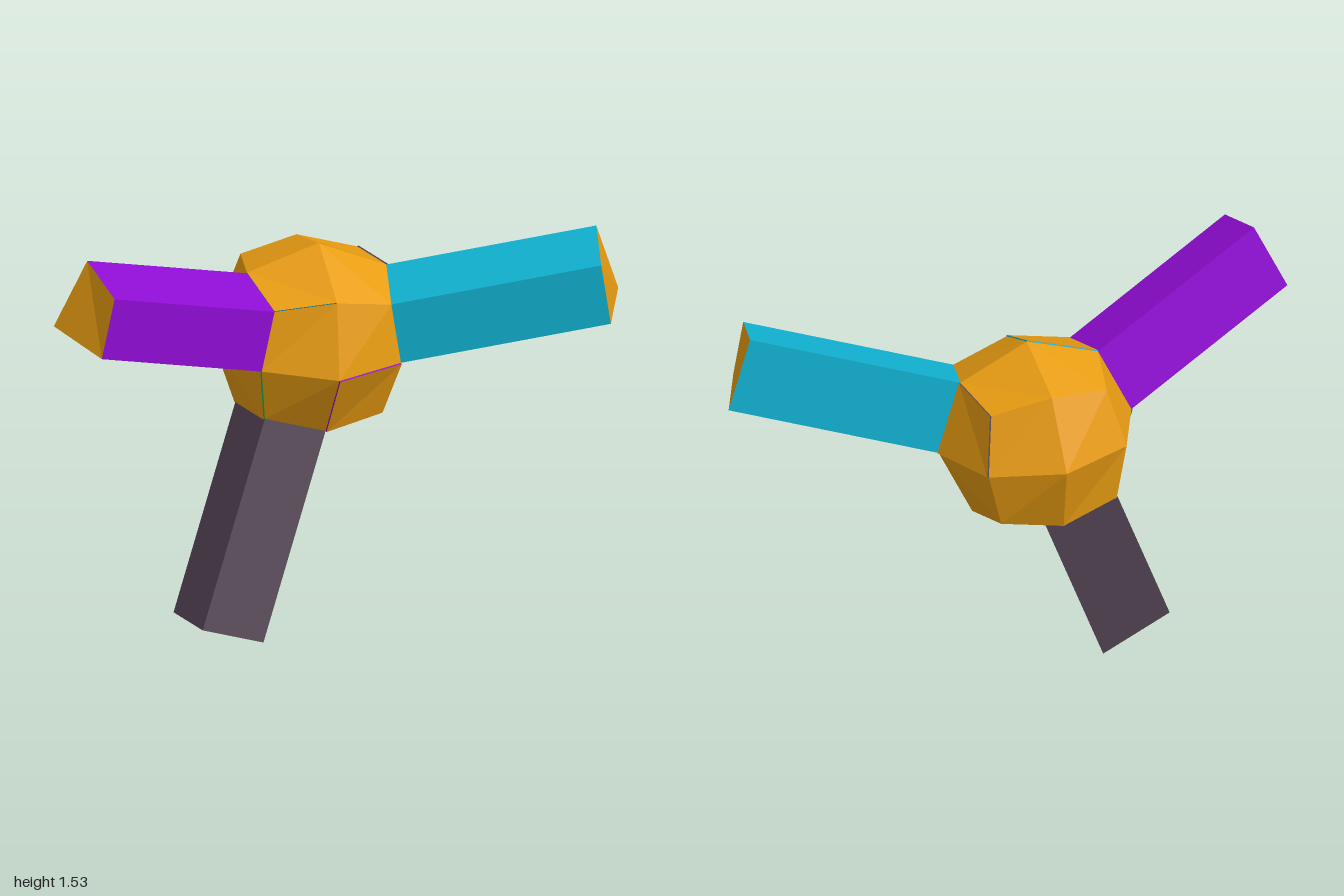
import * as THREE from 'three';

// Slightly tilted body frame; each axis is one body radius long
const CENTER = new THREE.Vector3(-0.035, 1.028, -0.098);
const AXES = [
  new THREE.Vector3(0.345, -0.022, -0.02),
  new THREE.Vector3(0.022, 0.345, 0.027),
  new THREE.Vector3(0.02, -0.028, 0.345),
];
const EDGE = 0.715, CORNER = 0.6;
const ORANGE = 0xe89c12, PURPLE = 0x8e0cd2, TEAL = 0x10b2d2, PLUM = 0x574757, GREEN = 0x128a3c;

// Raised faces, keyed by axis and corner signs; three grow into limbs
const RAISED = {
  'x-++': { name: 'rightArm', height: 0.72, color: PURPLE },
  'x+++': { name: 'leftArm', height: 0.735, color: TEAL },
  'y--+': { name: 'leg', height: 0.755, color: PLUM },
  'x--+': { name: 'lowerRightPlate', height: 0.006, color: GREEN },
  'z+-+': { name: 'lowerFrontPlate', height: 0.006, color: PURPLE },
  'y-++': { name: 'upperFrontPlate', height: 0.004, color: TEAL },
  'x++-': { name: 'upperBackPlate', height: 0.006, color: PLUM },
};

// Point of the body from weights along its three axes
function bodyPoint(weights) {
  const p = CENTER.clone();
  weights.forEach((w, i) => p.addScaledVector(AXES[i], w));
  return p;
}

function quad(out, a, b, c, d) {
  for (const p of [a, b, c, a, c, d]) out.push(p.x, p.y, p.z);
}

function facetMesh(name, positions, color) {
  const geometry = new THREE.BufferGeometry();
  geometry.setAttribute('position', new THREE.Float32BufferAttribute(positions, 3));
  geometry.computeVertexNormals();
  const mesh = new THREE.Mesh(geometry, new THREE.MeshStandardMaterial({ color, flatShading: true }));
  mesh.name = name;
  return mesh;
}

// Four corners of one face: axis tip, edge point, cube corner, edge point
function faceCorners(axis, signs) {
  const j = (axis + 1) % 3, k = (axis + 2) % 3;
  const at = (scale, used) => bodyPoint(signs.map((s, i) => (used.includes(i) ? s * scale : 0)));
  const corners = [at(1, [axis]), at(EDGE, [axis, j]), at(CORNER, [0, 1, 2]), at(EDGE, [axis, k])];
  if (signs[0] * signs[1] * signs[2] < 0) corners.reverse();
  return corners;
}

export function createModel() {
  const group = new THREE.Group();
  const shell = [];

  for (let axis = 0; axis < 3; axis++) {
    for (let n = 0; n < 8; n++) {
      const signs = [n & 1, n & 2, n & 4].map((bit) => (bit ? 1 : -1));
      const key = 'xyz'[axis] + signs.map((s) => (s > 0 ? '+' : '-')).join('');
      const base = faceCorners(axis, signs);
      const raised = RAISED[key];
      if (!raised) {
        quad(shell, ...base);
        continue;
      }

      // Push the face out along its normal and wall in the sides
      const [a, b, c, d] = base;
      const push = c.clone().sub(a).cross(d.clone().sub(b)).setLength(raised.height);
      const tip = base.map((p) => p.clone().add(push));
      const walls = [], cap = [];
      base.forEach((p, i) => {
        const next = (i + 1) % 4;
        quad(walls, p, base[next], tip[next], tip[i]);
      });
      quad(cap, ...tip);

      const part = new THREE.Group();
      part.name = raised.name;
      part.add(facetMesh(raised.name + 'Sides', walls, raised.color));
      part.add(facetMesh(raised.name + 'End', cap, ORANGE));
      group.add(part);
    }
  }

  // Faceted round body
  group.add(facetMesh('body', shell, ORANGE));
  return group;
}
